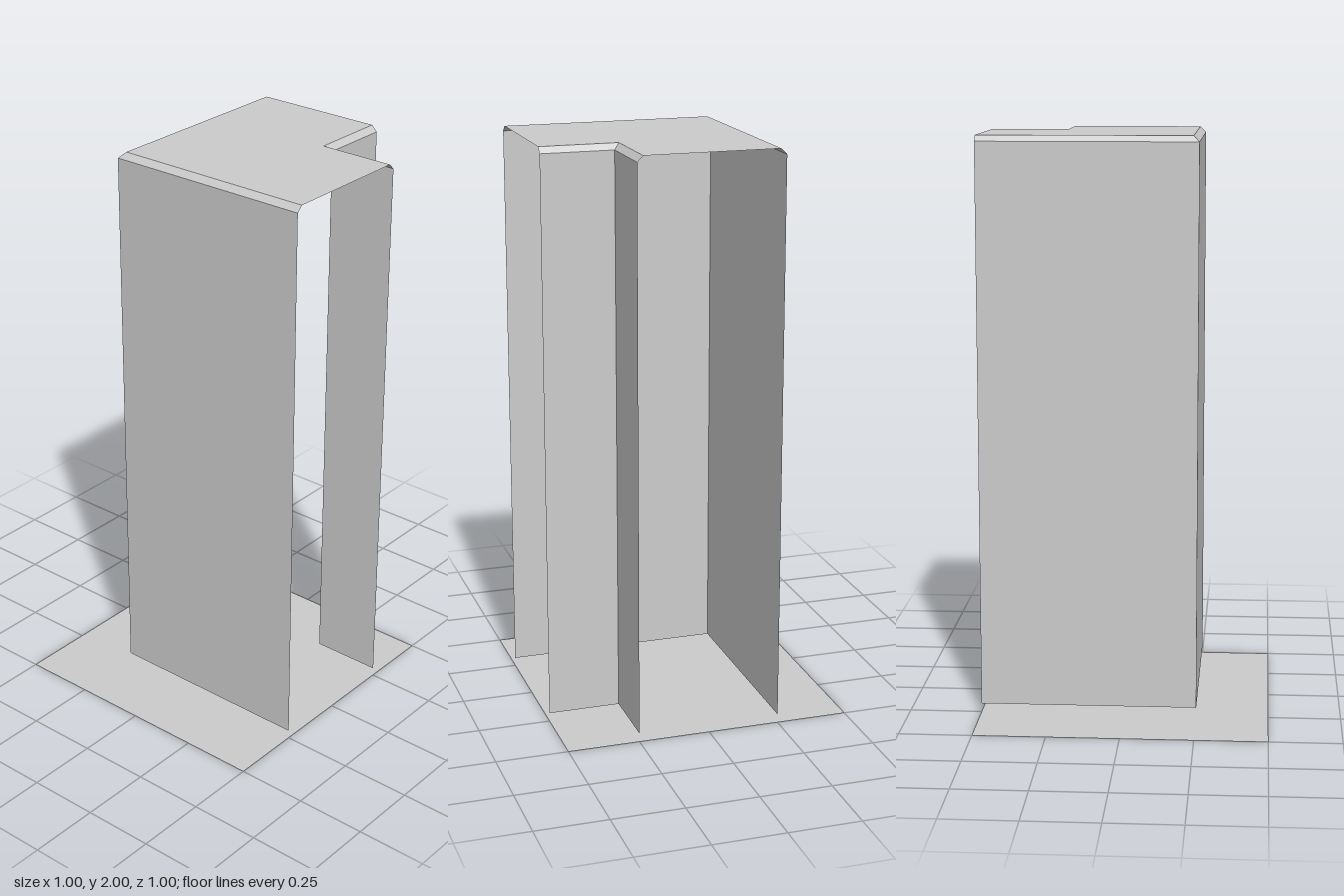
import * as THREE from 'three';

const BOTTOM = 0.03, EAVE = 1.98, TOP = 2, BEVEL = 0.02;

// Corner lines in plan as [x, z], pulled towards the inside by i
const outerLine = (i) => [[0.5, 0.25 - i], [-0.25 + i, 0.25 - i], [-0.25 + i, -0.5]];
const notchLine = (i) => [[0.25 - i, -0.5], [0.25 - i, -0.25 + i], [0.5, -0.25 + i]];

const material = new THREE.MeshStandardMaterial({
  color: 0xcccccc, flatShading: true, side: THREE.DoubleSide,
});

function addMesh(group, name, geometry) {
  const mesh = new THREE.Mesh(geometry, material);
  mesh.name = name;
  group.add(mesh);
  return mesh;
}

// Open strip of quads between a lower and an upper corner line
function strip(lower, y0, upper, y1) {
  const pos = [];
  for (let k = 0; k < lower.length - 1; k++) {
    const at = (line, j, y) => [line[j][0], y, line[j][1]];
    const a0 = at(lower, k, y0), b0 = at(lower, k + 1, y0);
    const a1 = at(upper, k, y1), b1 = at(upper, k + 1, y1);
    pos.push(...a0, ...a1, ...b1, ...a0, ...b1, ...b0);
  }
  const geometry = new THREE.BufferGeometry();
  geometry.setAttribute('position', new THREE.Float32BufferAttribute(pos, 3));
  geometry.computeVertexNormals();
  return geometry;
}

export function createModel() {
  const group = new THREE.Group();
  group.name = 'cornerPassage';

  // Ground sheet
  addMesh(group, 'floor', new THREE.PlaneGeometry(1, 1).rotateX(-Math.PI / 2));

  // Thin walls with a narrow sloping edge up to the roof
  for (const [name, line] of [['outer', outerLine], ['notch', notchLine]]) {
    addMesh(group, name + 'Walls', strip(line(0), BOTTOM, line(0), EAVE));
    addMesh(group, name + 'Bevel', strip(line(0), EAVE, line(BEVEL), TOP));
  }

  // L-shaped flat roof
  const outline = [...outerLine(BEVEL), ...notchLine(BEVEL)];
  const shape = new THREE.Shape(outline.map(([x, z]) => new THREE.Vector2(x, -z)));
  const roof = addMesh(group, 'roof', new THREE.ShapeGeometry(shape).rotateX(-Math.PI / 2));
  roof.position.y = TOP;

  return group;
}
